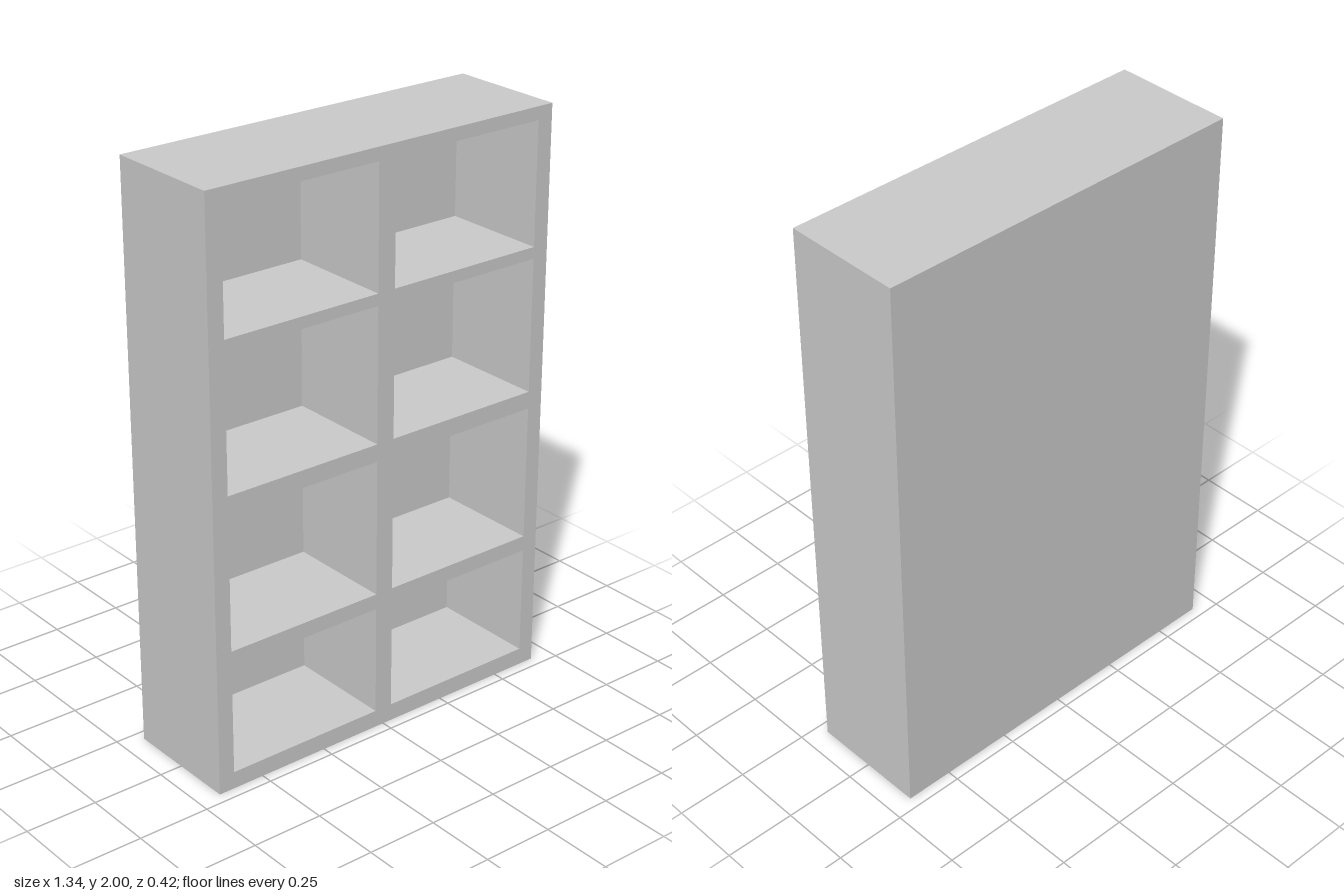
import * as THREE from 'three';

const WIDTH = 1.34, HEIGHT = 2, DEPTH = 0.42, BACK = 0.04;
// Left/right and bottom/top edges of the compartments
const COLUMNS = [[-0.613, -0.033], [0.033, 0.613]];
const ROWS = [[0.06, 0.443], [0.497, 0.97], [1.03, 1.495], [1.535, 1.955]];

function rectangle(path, x0, y0, x1, y1) {
  path.moveTo(x0, y0);
  path.lineTo(x1, y0);
  path.lineTo(x1, y1);
  path.lineTo(x0, y1);
  path.closePath();
  return path;
}

export function createModel() {
  const group = new THREE.Group();
  group.name = 'bookcase';
  const material = new THREE.MeshStandardMaterial({ color: 0xcccccc, flatShading: true });

  // Sides, shelves and divider as one frame with an opening per compartment
  const outline = rectangle(new THREE.Shape(), -WIDTH / 2, 0, WIDTH / 2, HEIGHT);
  for (const [x0, x1] of COLUMNS) {
    for (const [y0, y1] of ROWS) {
      outline.holes.push(rectangle(new THREE.Path(), x0, y0, x1, y1));
    }
  }
  const frame = new THREE.Mesh(
    new THREE.ExtrudeGeometry(outline, { depth: DEPTH - BACK, bevelEnabled: false }),
    material
  );
  frame.name = 'shelfFrame';
  frame.position.z = -DEPTH / 2 + BACK;
  group.add(frame);

  // Panel closing the rear of the compartments
  const back = new THREE.Mesh(new THREE.BoxGeometry(WIDTH, HEIGHT, BACK), material);
  back.name = 'backPanel';
  back.position.set(0, HEIGHT / 2, -DEPTH / 2 + BACK / 2);
  group.add(back);

  return group;
}
